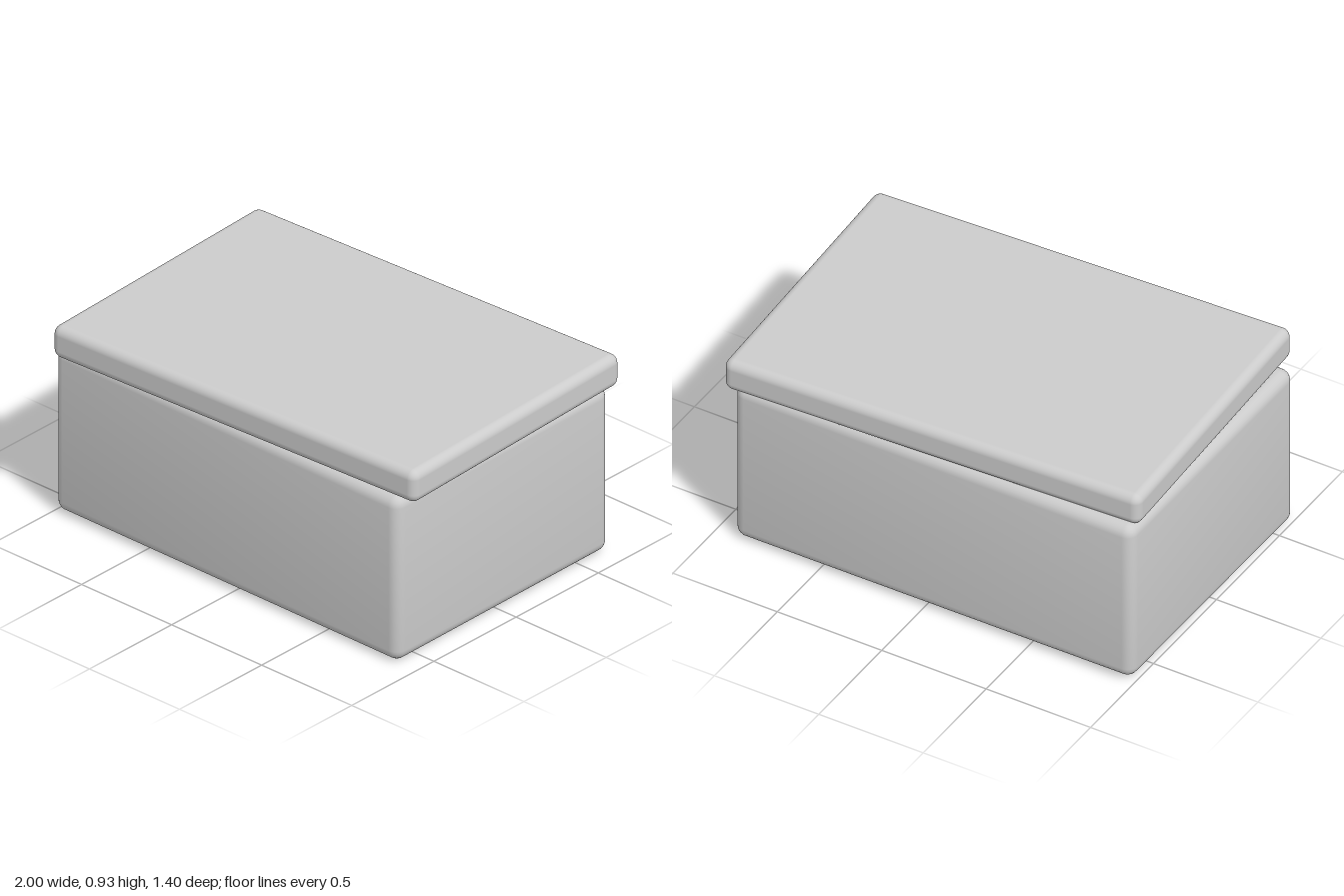
import * as THREE from 'three';
import { toCreasedNormals } from 'three/addons/utils/BufferGeometryUtils.js';
import { RoundedBoxGeometry } from 'three/addons/geometries/RoundedBoxGeometry.js';

const CORNER_STEPS = 6;

// Rounded rectangle loop in the xz plane, running from +x towards +z
function ring({ hx, hz, r, y }) {
  const points = [];
  const signs = [[1, 1], [-1, 1], [-1, -1], [1, -1]];
  signs.forEach(([sx, sz], q) => {
    for (let i = 0; i <= CORNER_STEPS; i++) {
      const a = (q + i / CORNER_STEPS) * Math.PI / 2;
      points.push([sx * (hx - r) + r * Math.cos(a), y, sz * (hz - r) + r * Math.sin(a)]);
    }
  });
  return points;
}

// Skin a series of rings
function loft(sections) {
  const rings = sections.map(ring);
  const n = rings[0].length;
  const index = [];
  for (let i = 0; i < rings.length - 1; i++) {
    for (let j = 0; j < n; j++) {
      const k = (j + 1) % n;
      const a = i * n + j, b = a + n, c = i * n + k, d = c + n;
      index.push(a, b, c, c, b, d);
    }
  }
  const geometry = new THREE.BufferGeometry();
  geometry.setAttribute('position', new THREE.Float32BufferAttribute(rings.flat(2), 3));
  geometry.setIndex(index);
  return toCreasedNormals(geometry, 0.6);
}

// Hollow box, open underneath, with rounded outer edges
function bodyGeometry(width, height, depth, radius, wall) {
  const hx = width / 2, hz = depth / 2;
  const at = (inset, y, r) => ({ hx: hx - inset, hz: hz - inset, r, y });
  const centre = (y) => ({ hx: 0, hz: 0, r: 0, y });
  const sections = [centre(height - wall), at(wall, height - wall, 0.04), at(wall, 0, 0.04)];
  const fillet = (y, start) => {
    for (let i = 0; i <= CORNER_STEPS; i++) {
      const a = start + (i / CORNER_STEPS) * Math.PI / 2;
      const inset = radius * (1 - Math.cos(a));
      sections.push(at(inset, y + radius * Math.sin(a), Math.max(radius - inset, 0)));
    }
  };
  fillet(radius, -Math.PI / 2);
  fillet(height - radius, 0);
  sections.push(centre(height));
  return loft(sections);
}

export function createModel() {
  const model = new THREE.Group();
  model.name = 'box';
  const grey = new THREE.MeshStandardMaterial({ color: 0xcccccc });
  grey.name = 'light grey';

  // Body, leaning very slightly
  const body = new THREE.Mesh(bodyGeometry(1.91, 0.775, 1.295, 0.05, 0.052), grey);
  body.name = 'body';
  body.position.set(-0.043, 0.008, -0.022);
  body.rotation.set(0.006, 0, -0.004);
  model.add(body);

  // Lid, set askew on the body
  const lid = new THREE.Mesh(new RoundedBoxGeometry(1.945, 0.15, 1.322, 5, 0.04), grey);
  lid.name = 'lid';
  lid.position.y = 0.853;
  lid.rotation.y = 0.043;
  model.add(lid);

  return model;
}
